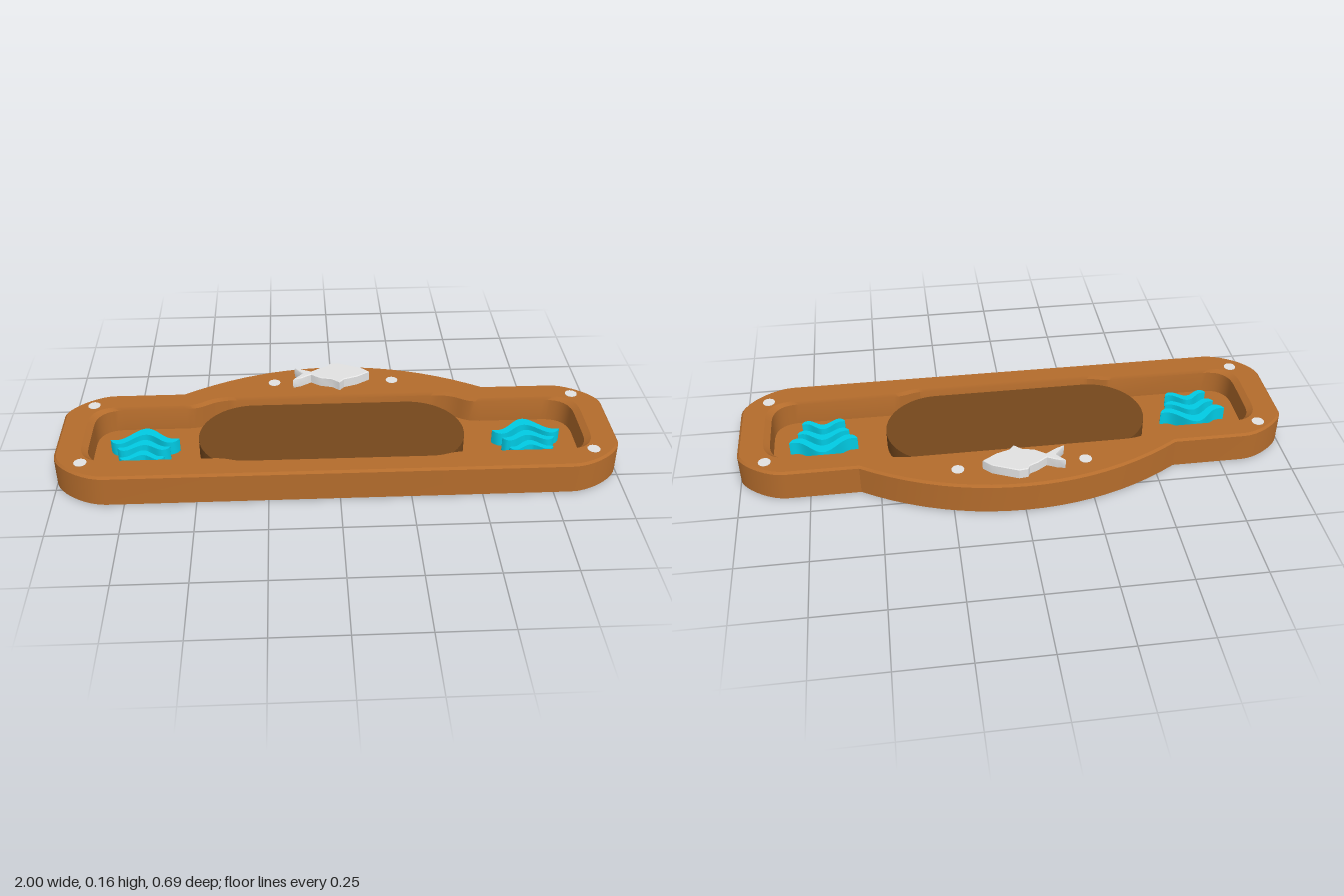
import * as THREE from 'three';
import { toCreasedNormals } from 'three/addons/utils/BufferGeometryUtils.js';

const FLOOR = 0.02;

const material = (name, color, side = THREE.FrontSide) => {
  const m = new THREE.MeshStandardMaterial({ color, side });
  m.name = name;
  return m;
};

// Half outline from front centre to back centre, mirrored into a closed loop of (x, z) points
function mirroredLoop(draw) {
  const path = new THREE.Path();
  draw(path);
  const half = path.getPoints(10);
  const other = half.slice(1, -1).reverse().map(p => new THREE.Vector2(-p.x, p.y));
  return half.concat(other);
}

// Moves a loop inwards along its averaged edge normals
function inset(loop, d) {
  const n = loop.length;
  return loop.map((p, i) => {
    const t = loop[(i + 1) % n].clone().sub(p).normalize()
      .add(p.clone().sub(loop[(i + n - 1) % n]).normalize()).normalize();
    return new THREE.Vector2(p.x + t.y * d, p.y - t.x * d);
  });
}

// Surface through several loops of equal count, each given as [loop, y]
function loft(layers) {
  const n = layers[0][0].length, pos = [], index = [];
  layers.forEach(([loop, y]) => loop.forEach(p => pos.push(p.x, y, p.y)));
  for (let k = 0; k < layers.length - 1; k++) {
    for (let i = 0; i < n; i++) {
      const a = k * n + i, b = k * n + (i + 1) % n;
      index.push(a, b, a + n, b, b + n, a + n);
    }
  }
  const g = new THREE.BufferGeometry();
  g.setAttribute('position', new THREE.Float32BufferAttribute(pos, 3));
  g.setIndex(index);
  g.computeVertexNormals();
  return toCreasedNormals(g, 0.4);
}

const flip = loop => loop.map(p => new THREE.Vector2(p.x, -p.y));

// Upright slab on a floor outline, with an optional bevel on its edges
function slab(loop, y0, y1, bevel = 0) {
  const g = new THREE.ExtrudeGeometry(new THREE.Shape(flip(loop)), {
    depth: y1 - y0 - 2 * bevel, bevelEnabled: bevel > 0, bevelSize: bevel,
    bevelThickness: bevel, bevelOffset: -bevel, bevelSegments: 1, curveSegments: 16
  });
  g.rotateX(-Math.PI / 2).translate(0, y0 + bevel, 0);
  return toCreasedNormals(g, 0.5);
}

export function createModel() {
  const model = new THREE.Group();
  const wood = material('wood', 0xb46c2c, THREE.DoubleSide);
  const darkWood = material('darkWood', 0x76481c);
  const silver = material('silver', 0xe2e2e2);
  const teal = material('teal', 0x00cbe4);
  const add = (name, geometry, mat, parent = model) => {
    const mesh = new THREE.Mesh(geometry, mat);
    mesh.name = name;
    parent.add(mesh);
    return mesh;
  };

  // Tray outline with rounded corners and an arched back
  const outline = mirroredLoop(p => {
    p.moveTo(0, 0.347);
    p.lineTo(0.81, 0.347);
    p.bezierCurveTo(0.89, 0.347, 1, 0.265, 1, 0.2);
    p.lineTo(1, -0.05);
    p.bezierCurveTo(1, -0.095, 0.9, -0.175, 0.83, -0.175);
    p.lineTo(0.57, -0.175);
    p.quadraticCurveTo(0.3, -0.347, 0, -0.347);
  });
  // Recess outline that widens around the central pad
  const recess = mirroredLoop(p => {
    p.moveTo(0, 0.27);
    p.lineTo(0.32, 0.27);
    p.bezierCurveTo(0.38, 0.27, 0.38, 0.25, 0.44, 0.25);
    p.lineTo(0.81, 0.25);
    p.quadraticCurveTo(0.91, 0.25, 0.91, 0.15);
    p.lineTo(0.91, 0.01);
    p.quadraticCurveTo(0.91, -0.09, 0.81, -0.09);
    p.lineTo(0.57, -0.09);
    p.bezierCurveTo(0.48, -0.09, 0.5, -0.143, 0.38, -0.143);
    p.lineTo(0, -0.143);
  });
  const pan = recess.map(p => new THREE.Vector2(p.x * 0.975, 0.065 + (p.y - 0.065) * 0.975));
  const rimEdge = inset(outline, 0.008);

  // Hollow body: outer wall, rim, recess wall and floor
  add('outerWall', loft([[rimEdge, 0.121], [outline, 0.113], [outline, 0.005]]), wood);
  const rimShape = new THREE.Shape(flip(rimEdge));
  rimShape.holes.push(new THREE.Path(flip(recess)));
  add('rim', new THREE.ShapeGeometry(rimShape).rotateX(-Math.PI / 2).translate(0, 0.121, 0), wood);
  add('recessWall', loft([[pan, FLOOR], [pan, 0.108], [recess, 0.121]]), wood);
  add('recessFloor', slab(pan, 0, FLOOR), wood);

  // Raised stadium pad in the middle of the recess
  const pad = new THREE.Path();
  pad.absarc(0.269, 0.064, 0.198, -Math.PI / 2, Math.PI / 2);
  pad.absarc(-0.305, 0.064, 0.198, Math.PI / 2, Math.PI * 1.5);
  add('centrePad', slab(pad.getPoints(20), FLOOR, 0.085), darkWood);

  // Three tapering waves on each wing
  for (const side of [-1, 1]) {
    const waves = new THREE.Group();
    waves.name = side > 0 ? 'leftWaves' : 'rightWaves';
    for (const [half, mid, rise, width] of [
      [0.125, 0.036, 0.031, 0.038], [0.095, 0.094, 0.019, 0.03], [0.08, 0.155, 0.017, 0.027]]) {
      const edge = s => Array.from({ length: 25 }, (_, i) => {
        const t = i / 12 - 1;
        const w = width * Math.sqrt(Math.max(0, 1 - t * t)) / 2 + 0.001;
        return new THREE.Vector2(t * half, mid - rise * Math.cos(Math.PI * t / 0.78) + s * w);
      });
      add('wave', slab(edge(-1).concat(edge(1).reverse()), FLOOR, 0.073), teal, waves);
    }
    waves.position.x = side * 0.7;
    model.add(waves);
  }

  // Fish ornament on the arch
  const fish = [
    [-0.148, -0.277], [-0.118, -0.24], [-0.155, -0.196], [-0.125, -0.206], [-0.085, -0.231],
    [-0.05, -0.205], [-0.005, -0.194], [0.022, -0.17], [0.04, -0.192], [0.09, -0.209],
    [0.14, -0.242], [0.11, -0.272], [0.055, -0.296], [0.02, -0.311], [-0.012, -0.307],
    [-0.02, -0.291], [-0.05, -0.277], [-0.085, -0.253], [-0.12, -0.27]
  ].map(([x, z]) => new THREE.Vector2(x, z));
  add('fish', slab(fish, 0.115, 0.159, 0.003), silver);

  // Flush studs on the corners and beside the fish
  for (const [x, z] of [[0.9, -0.105], [0.9, 0.255], [0.227, -0.235]]) {
    for (const side of [-1, 1]) {
      add('stud', new THREE.CylinderGeometry(0.023, 0.023, 0.006, 12), silver)
        .position.set(side * x, 0.119, z);
    }
  }
  return model;
}
